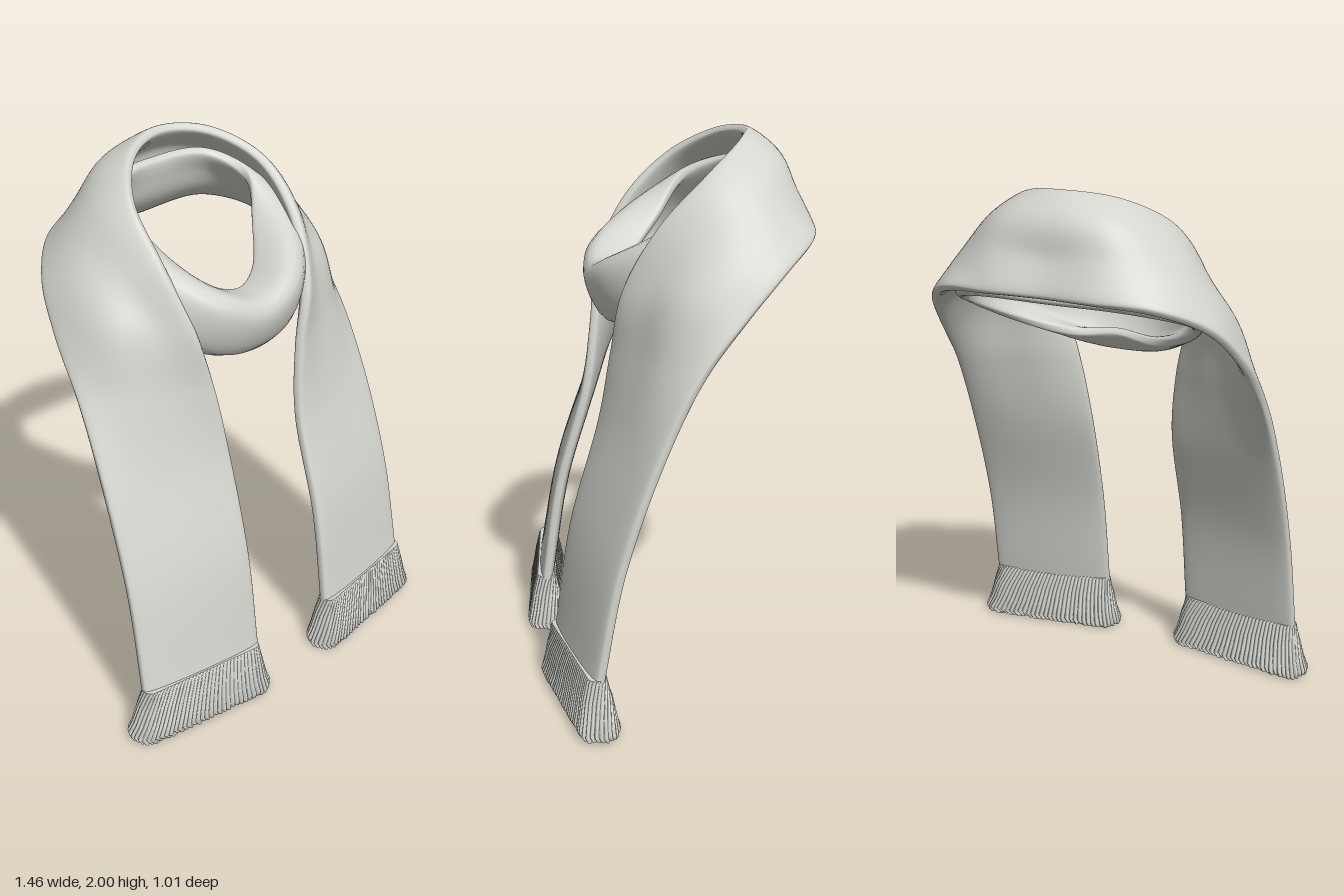
import * as THREE from 'three';

const knit = new THREE.MeshStandardMaterial({ color: 0xd4d4ce });
knit.name = 'light grey knit';
const V = (p) => new THREE.Vector3(...p);
const rand = (i) => { const s = Math.sin(i * 12.9898) * 43758.5453; return s - Math.floor(s); };

// Tube-like surface: rows of points, each row closed on itself
function gridSurface(rows, cols, closed, point) {
  const pos = [], idx = [];
  for (let i = 0; i < rows; i++)
    for (let j = 0; j < cols; j++) pos.push(...point(i, j).toArray());
  for (let i = 0; i < (closed ? rows : rows - 1); i++)
    for (let j = 0; j < cols; j++) {
      const k = (j + 1) % cols, n = (i + 1) % rows;
      const a = i * cols + j, b = n * cols + j, c = i * cols + k, d = n * cols + k;
      idx.push(a, b, c, c, b, d);
    }
  const g = new THREE.BufferGeometry();
  g.setAttribute('position', new THREE.Float32BufferAttribute(pos, 3));
  g.setIndex(idx);
  g.computeVertexNormals();
  return g;
}

// Thick cloth swept through stations; each station is four points across the width
function clothBand(name, stations, closed, thickness, rows) {
  const rails = [0, 1, 2, 3].map((k) =>
    new THREE.CatmullRomCurve3(stations.map((s) => V(s[k])), closed, 'centripetal'));
  const section = (t) => new THREE.CatmullRomCurve3(rails.map((r) => r.getPoint(t)), false, 'centripetal');
  const cols = 64, e = 0.004;
  const cache = [];
  const at = (i) => {
    if (!cache[i]) {
      const t = closed ? i / rows : i / (rows - 1);
      const lo = closed ? t - e : Math.max(0, t - e), hi = closed ? t + e : Math.min(1, t + e);
      const wrap = (v) => (closed ? (v + 1) % 1 : v);
      cache[i] = [section(t), section(wrap(lo)), section(wrap(hi))];
    }
    return cache[i];
  };
  const g = gridSurface(rows, cols, closed, (i, j) => {
    const [mid, before, after] = at(i);
    const phi = (j / cols) * Math.PI * 2, c = Math.cos(phi), s = Math.sin(phi);
    const u = 0.5 + 0.5 * c;
    const along = after.getPoint(u).sub(before.getPoint(u));
    const normal = mid.getTangent(u).cross(along).normalize();
    const off = Math.sign(s) * Math.pow(Math.abs(s), 0.5) * thickness / 2;
    return mid.getPoint(u).addScaledVector(normal, off);
  });
  const mesh = new THREE.Mesh(g, knit);
  mesh.name = name;
  return mesh;
}

// Plain station: two middle points interpolated between the edges
function flat(a, b) {
  const mix = (t) => a.map((v, k) => v + (b[k] - v) * t);
  return [a, mix(1 / 3), mix(2 / 3), b];
}
const flip = (station) => station.map(([x, y, z]) => [-x, y, z]);

// Flared skirt of strands with ridges, closed at the top and bottom
function fringe(name, side) {
  const ridges = 72, per = 8, cols = ridges * per;
  // centre x, half length, half thickness, y, ridge depth
  const levels = [
    [0.425, 0.25, 0.034, 0.217, 0.002],
    [0.425, 0.253, 0.04, 0.207, 0.005],
    [0.427, 0.27, 0.056, 0.14, 0.006],
    [0.429, 0.288, 0.068, 0.07, 0.008],
    [0.43, 0.306, 0.078, 0.02, 0.009],
    [0.43, 0.3, 0.07, 0.0, 0.009],
  ];
  const rows = [[0, true], [0], ...levels.map((_, i) => [i]), [5], [5, true]];
  const g = gridSurface(rows.length, cols, false, (i, j) => {
    const [x, half, r, y, depth] = levels[rows[i][0]];
    const cx = side * (x - 0.425);
    if (rows[i][1]) return new THREE.Vector3(cx, i ? 0.01 : y, 0);
    // walk around a stadium outline
    const a = half - r, arc = Math.PI * r, total = 4 * a + 2 * arc;
    let d = (j / cols) * total, px, pz, nx, nz;
    const flipEnd = d >= total / 2;
    if (flipEnd) d -= total / 2;
    if (d < arc) {
      const q = Math.PI / 2 - d / r;
      nx = Math.cos(q); nz = Math.sin(q); px = a + nx * r; pz = nz * r;
    } else {
      nx = 0; nz = -1; px = a - (d - arc); pz = -r;
    }
    const sgn = flipEnd ? -1 : 1, strand = Math.floor(j / per);
    const valley = 1 - Math.abs(Math.sin((j / per) * Math.PI));
    const inset = -depth * (valley + 0.3 * rand(strand + side * 7));
    const lift = y < 0.05 ? 0.01 * rand(strand * 3 + side) : 0;
    return new THREE.Vector3(cx + sgn * (px + nx * inset), y + lift, sgn * (pz + nz * inset));
  });
  const mesh = new THREE.Mesh(g, knit);
  mesh.name = name;
  mesh.position.set(side * 0.425, 0, 0.395);
  mesh.rotation.y = side * 0.15;
  return mesh;
}

export function createModel() {
  const group = new THREE.Group();
  group.name = 'scarf';

  // Long band: hem, front panel, shoulder, back of neck
  const half = [
    flat([0.177, 0.2, 0.43], [0.67, 0.2, 0.355]),
    flat([0.175, 0.6, 0.368], [0.657, 0.6, 0.272]),
    flat([0.173, 1.0, 0.257], [0.642, 1.0, 0.128]),
    [[0.205, 1.25, 0.22], [0.34, 1.25, 0.155], [0.49, 1.26, 0.09], [0.622, 1.26, -0.01]],
    [[0.262, 1.48, 0.19], [0.35, 1.49, 0.105], [0.485, 1.5, 0.01], [0.59, 1.435, -0.16]],
    [[0.305, 1.71, 0.07], [0.375, 1.68, -0.02], [0.47, 1.635, -0.15], [0.525, 1.575, -0.31]],
    [[0.29, 1.87, -0.09], [0.36, 1.8, -0.18], [0.4, 1.72, -0.3], [0.385, 1.655, -0.445]],
    [[0.17, 1.965, -0.23], [0.215, 1.885, -0.35], [0.225, 1.785, -0.41], [0.2, 1.67, -0.49]],
  ];
  const nape = [[0, 1.993, -0.295], [0, 1.9, -0.39], [0, 1.785, -0.415], [0, 1.67, -0.48]];
  const long = [...half, nape, ...half.slice().reverse().map(flip)];
  group.add(clothBand('longBand', long, false, 0.062, 180));

  // Closed loop: rolls under at the throat, lies inside the shoulders, rises to the nape
  const throat = [[0, 1.515, 0.11], [0, 1.495, 0.25], [0, 1.345, 0.19], [0, 1.41, 0.105]];
  const side = [
    [[0.11, 1.545, 0.07], [0.155, 1.55, 0.215], [0.17, 1.375, 0.165], [0.16, 1.4, 0.06]],
    [[0.205, 1.65, -0.035], [0.275, 1.635, 0.085], [0.345, 1.5, 0.045], [0.34, 1.46, -0.06]],
    [[0.27, 1.8, -0.15], [0.33, 1.74, -0.12], [0.41, 1.64, -0.17], [0.45, 1.57, -0.25]],
    [[0.195, 1.865, -0.28], [0.235, 1.8, -0.31], [0.28, 1.71, -0.345], [0.3, 1.635, -0.41]],
  ];
  const back = [[0, 1.875, -0.325], [0, 1.81, -0.345], [0, 1.73, -0.37], [0, 1.64, -0.43]];
  const loop = [throat, ...side, back, ...side.slice().reverse().map(flip)];
  group.add(clothBand('neckLoop', loop, true, 0.058, 140));

  group.add(fringe('leftFringe', 1), fringe('rightFringe', -1));
  return group;
}
